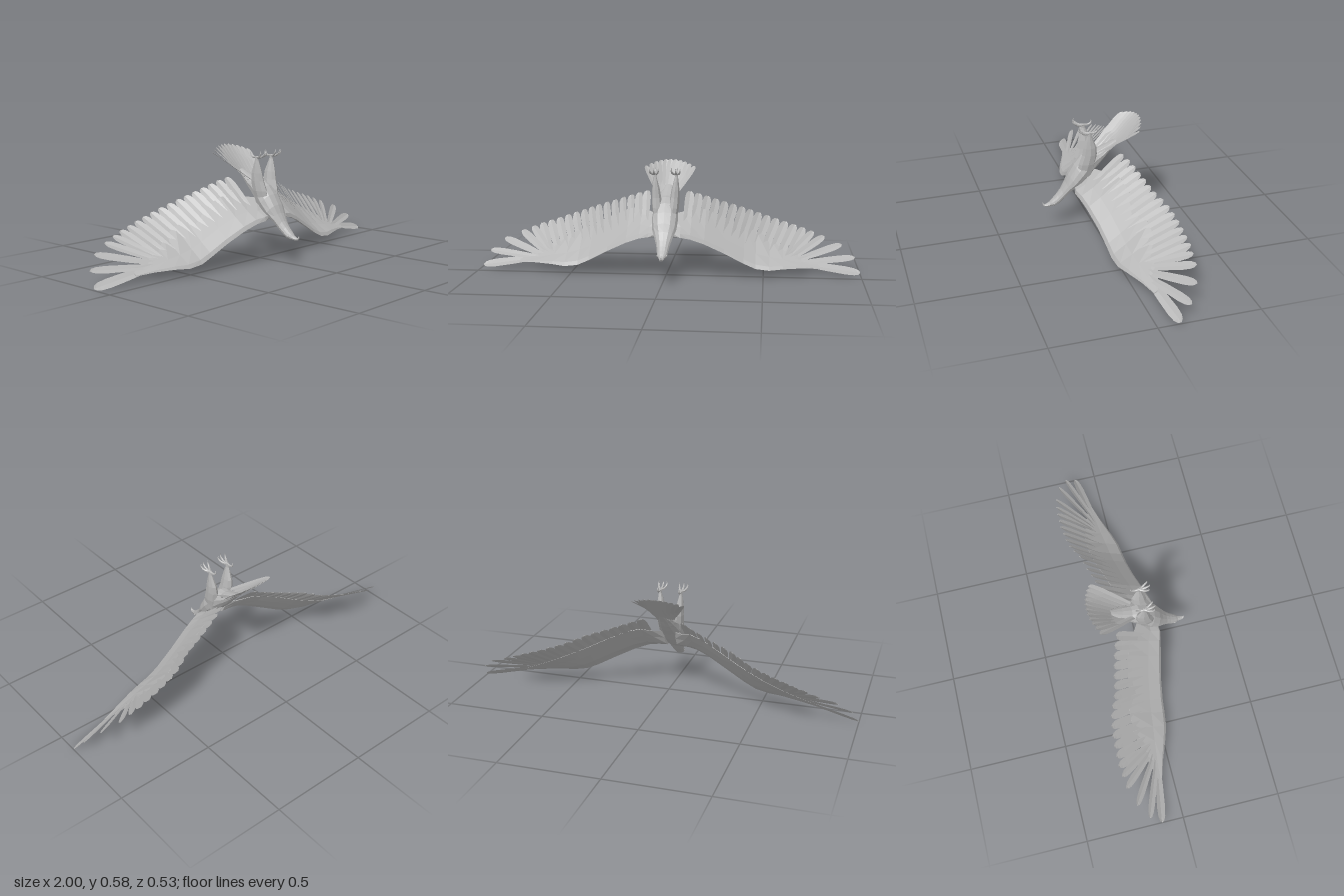
import * as THREE from 'three';

const V = (x, y, z) => new THREE.Vector3(x, y, z);
const grey = new THREE.MeshStandardMaterial({ color: 0xb6b6b6, side: THREE.DoubleSide });
grey.name = 'plumage grey';

// Faceted mesh from points and triangle indices
function facet(name, pts, idx) {
  const indexed = new THREE.BufferGeometry().setFromPoints(pts);
  indexed.setIndex(idx);
  const geo = indexed.toNonIndexed();
  geo.computeVertexNormals();
  const mesh = new THREE.Mesh(geo, grey);
  mesh.name = name;
  return mesh;
}

// Closed skin over a row of rings, capped at both ends and wound outwards
function loft(name, rings) {
  const n = rings[0].length, pts = rings.flat(), idx = [];
  for (let i = 0; i < rings.length - 1; i++) {
    for (let j = 0; j < n; j++) {
      const a = i * n + j, b = i * n + (j + 1) % n;
      idx.push(a, b, a + n, b, b + n, a + n);
    }
  }
  const last = (rings.length - 1) * n;
  for (let j = 1; j < n - 1; j++) idx.push(0, j + 1, j, last, last + j, last + j + 1);
  let volume = 0;
  for (let i = 0; i < idx.length; i += 3) {
    volume += pts[idx[i]].dot(V(0, 0, 0).crossVectors(pts[idx[i + 1]], pts[idx[i + 2]]));
  }
  if (volume < 0) idx.reverse();
  return facet(name, pts, idx);
}

// Oval ring spanning a belly point and a back point, given as z and y
function oval([tz, ty, bz, by, w], n = 12) {
  return Array.from({ length: n }, (_, i) => {
    const a = i / n * Math.PI * 2, c = Math.cos(a) / 2;
    return V(w * Math.sin(a), (ty + by) / 2 + c * (ty - by), (tz + bz) / 2 + c * (tz - bz));
  });
}

// Thin blade with a shallow ridge and a rounded end
const BLADE = [[0, 0.6], [0.4, 0.9], [0.75, 1], [0.9, 0.85], [0.97, 0.55], [1, 0.15]];
function feather(name, base, tip, normal, width) {
  const axis = tip.clone().sub(base).normalize();
  const side = V(0, 0, 0).crossVectors(normal, axis).normalize();
  const up = V(0, 0, 0).crossVectors(axis, side).normalize();
  side.addScaledVector(up, 0.12).normalize();
  const pts = [], idx = [];
  BLADE.forEach(([t, w], i) => {
    for (const s of [-1, 0, 1]) {
      pts.push(base.clone().lerp(tip, t).addScaledVector(side, s * w * width / 2)
        .addScaledVector(up, s ? 0 : -0.06 * width));
    }
    if (!i) return;
    for (const k of [0, 1]) {
      const a = i * 3 - 3 + k;
      idx.push(a, a + 1, a + 3, a + 1, a + 4, a + 3);
    }
  });
  return facet(name, pts, idx);
}

// Wing stations: x, leading edge y z, rear edge y z, thickness
const WING = [
  [0.03, 0.225, 0.10, 0.32, 0.0, 0.04], [0.08, 0.217, 0.112, 0.325, -0.03, 0.036],
  [0.13, 0.207, 0.10, 0.345, -0.07, 0.03], [0.2, 0.18, 0.083, 0.33, -0.09, 0.027],
  [0.3, 0.13, 0.06, 0.285, -0.115, 0.025], [0.4, 0.076, 0.045, 0.235, -0.135, 0.024],
  [0.46, 0.049, 0.04, 0.208, -0.145, 0.024], [0.53, 0.039, 0.031, 0.175, -0.15, 0.022],
  [0.6, 0.043, 0.008, 0.14, -0.138, 0.017], [0.7, 0.042, -0.03, 0.09, -0.108, 0.011],
  [0.79, 0.035, -0.058, 0.048, -0.078, 0.005],
];
const AIRFOIL = [[0, 0], [0.09, 0.35], [0.4, 0.1], [1, 0.03], [1, -0.03], [0.7, -0.45], [0.4, -0.8], [0.1, -0.55]];

// Point on the wing at span x and chord fraction f
function onWing(x, f) {
  const i = Math.max(1, Math.min(WING.length - 1, WING.findIndex((s) => s[0] >= x)));
  const a = WING[i - 1], b = WING[i], t = (x - a[0]) / (b[0] - a[0]);
  const m = a.map((v, k) => v + (b[k] - v) * t);
  return V(x, m[1] + (m[3] - m[1]) * f, m[2] + (m[4] - m[2]) * f);
}

function wingFeather(name, x, f, tip, width) {
  const span = onWing(x + 0.04, 0.5).sub(onWing(x - 0.04, 0.5));
  const chord = onWing(x, 1).sub(onWing(x, 0));
  const normal = V(0, 0, 0).crossVectors(chord, span).normalize();
  if (normal.y < 0) normal.negate();
  return feather(name, onWing(x, f), tip, normal, width);
}

function makeWing() {
  const wing = new THREE.Group();
  wing.add(loft('wingArm', WING.map(([x, ly, lz, ry, rz, th]) => {
    const dy = ry - ly, dz = rz - lz, len = Math.hypot(dy, dz);
    return AIRFOIL.map(([f, h]) =>
      V(x, ly + dy * f - dz / len * h * th, lz + dz * f + dy / len * h * th));
  })));
  // Inner flight feathers
  const tips = new THREE.CatmullRomCurve3([
    V(0.115, 0.42, -0.13), V(0.17, 0.403, -0.152), V(0.28, 0.365, -0.182), V(0.4, 0.325, -0.212),
    V(0.46, 0.3, -0.24), V(0.58, 0.257, -0.26), V(0.71, 0.213, -0.263)]);
  for (let i = 0; i < 14; i++) {
    const tip = tips.getPointAt(i / 13);
    wing.add(wingFeather('innerFeather', tip.x * 0.87 + 0.005, 0.55, tip, 0.05));
  }
  // Spread outer feathers
  [[0.625, 0.55, 0.76, 0.195, -0.257, 0.043], [0.645, 0.55, 0.818, 0.172, -0.25, 0.043],
    [0.665, 0.5, 0.908, 0.135, -0.217, 0.043], [0.685, 0.4, 0.975, 0.077, -0.167, 0.043],
    [0.7, 0.4, 1.0, 0.008, -0.11, 0.055]].forEach(([x, f, tx, ty, tz, w]) =>
    wing.add(wingFeather('outerFeather', x, f, V(tx, ty, tz), w)));
  return wing;
}

// Tapering curved toe ending in a claw
function toe(points) {
  const curve = new THREE.CatmullRomCurve3(points), n = 9;
  return loft('toe', Array.from({ length: n }, (_, i) => {
    const t = i / (n - 1), p = curve.getPoint(t), d = curve.getTangent(t);
    const u = V(0, 0, 0).crossVectors(d, V(1, 0, 0.3)).normalize();
    const v = V(0, 0, 0).crossVectors(d, u).normalize(), r = 0.0062 * (1 - 0.9 * t * t);
    return Array.from({ length: 6 }, (_, k) => p.clone()
      .addScaledVector(u, r * Math.cos(k * Math.PI / 3)).addScaledVector(v, r * Math.sin(k * Math.PI / 3)));
  }));
}

function makeLeg() {
  const leg = new THREE.Group();
  // Feathered thigh: y, x, z, half width, half depth
  const rings = [[0.29, 0.035, 0.05, 0.022, 0.04], [0.36, 0.042, 0.037, 0.027, 0.044],
    [0.41, 0.047, 0.026, 0.024, 0.039], [0.45, 0.05, 0.024, 0.02, 0.034],
    [0.49, 0.053, 0.027, 0.013, 0.02], [0.515, 0.055, 0.028, 0.008, 0.011], [0.535, 0.055, 0.028, 0.007, 0.008]];
  leg.add(loft('thigh', rings.map(([y, x, z, w, d]) => Array.from({ length: 8 }, (_, i) =>
    V(x + w * Math.cos(i * Math.PI / 4), y, z + d * Math.sin(i * Math.PI / 4))))));
  // Three front toes and one back toe
  for (const s of [-1, 0, 1]) {
    const reach = s ? 0.85 : 1;
    leg.add(toe([V(0.055, 0.531, 0.028), V(0.055 + s * 0.01, 0.531, 0.028 + 0.022 * reach),
      V(0.055 + s * 0.019, 0.54, 0.028 + 0.044 * reach), V(0.055 + s * 0.022, 0.553, 0.028 + 0.055 * reach),
      V(0.055 + s * 0.02, 0.565, 0.028 + 0.053 * reach)]));
  }
  leg.add(toe([V(0.055, 0.531, 0.028), V(0.055, 0.53, 0.008), V(0.055, 0.536, -0.008),
    V(0.055, 0.547, -0.014), V(0.055, 0.556, -0.011)]));
  return leg;
}

export function createModel() {
  const bird = new THREE.Group();
  bird.name = 'bird';

  // Head, neck and body: belly z y, back z y, half width
  bird.add(loft('body', [
    [0.228, 0.145, 0.229, 0.125, 0.012], [0.217, 0.156, 0.216, 0.124, 0.02],
    [0.203, 0.169, 0.197, 0.127, 0.026], [0.185, 0.188, 0.178, 0.138, 0.029],
    [0.165, 0.213, 0.152, 0.163, 0.035], [0.142, 0.252, 0.122, 0.197, 0.048],
    [0.125, 0.292, 0.08, 0.22, 0.062], [0.095, 0.343, 0.035, 0.26, 0.067],
    [0.06, 0.385, -0.005, 0.303, 0.062], [0.015, 0.41, -0.04, 0.34, 0.052],
    [-0.02, 0.412, -0.065, 0.368, 0.045], [-0.07, 0.43, -0.095, 0.405, 0.035],
    [-0.125, 0.455, -0.13, 0.445, 0.015]].map((r) => oval(r))));

  // Hooked beak
  bird.add(loft('beak', [
    [0.226, 0.147, 0.226, 0.123, 0.014], [0.24, 0.14, 0.243, 0.122, 0.011],
    [0.251, 0.136, 0.256, 0.125, 0.008], [0.256, 0.139, 0.262, 0.134, 0.005],
    [0.26, 0.147, 0.263, 0.146, 0.0015]].map((r) => oval(r, 8))));

  // Tail fan, curved across its width
  const tail = new THREE.Group();
  tail.name = 'tail';
  for (let i = -5; i <= 5; i++) {
    const u = i / 5, q = u * u;
    tail.add(feather('tailFeather', V(0.035 * u, 0.372 + 0.035 * q, -0.055 + 0.035 * q),
      V(0.128 * u, 0.574 - 0.032 * q, -0.25 + 0.04 * q), V(-0.5 * u, 0.7, 0.7), 0.042));
  }
  bird.add(tail);

  // Mirrored wings, legs and eyes
  for (const s of [1, -1]) {
    const side = s > 0 ? 'left' : 'right';
    const wing = makeWing(), leg = makeLeg();
    wing.name = side + 'Wing';
    leg.name = side + 'Leg';
    wing.scale.x = leg.scale.x = s;
    const eye = new THREE.Mesh(new THREE.SphereGeometry(0.006, 10, 8), grey);
    eye.name = side + 'Eye';
    eye.position.set(s * 0.021, 0.143, 0.206);
    bird.add(wing, leg, eye);
  }
  return bird;
}
